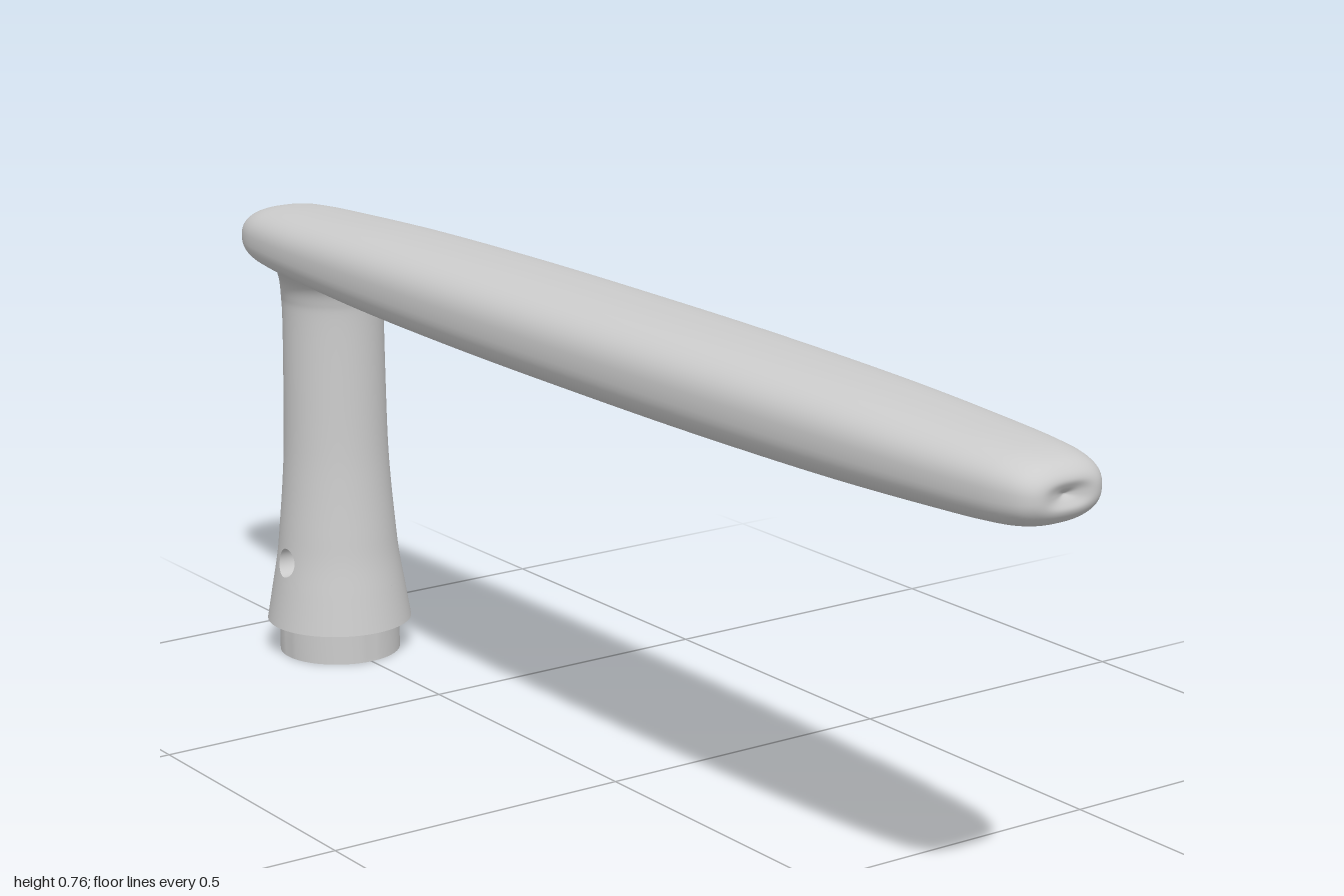
import * as THREE from 'three';
import { mergeVertices, toCreasedNormals } from 'three/addons/utils/BufferGeometryUtils.js';

const material = new THREE.MeshStandardMaterial({ color: 0xcccccc });
const thin = new THREE.MeshStandardMaterial({ color: 0xcccccc, side: THREE.DoubleSide });
const flat = new THREE.MeshStandardMaterial({ color: 0xcccccc, side: THREE.DoubleSide, flatShading: true });

const STEM_X = -0.81;
const STEM_BASE = 0.055;
const HOLE = { y: 0.165, radius: 0.024, halfAngle: 0.36, halfHeight: 0.04 };

// Smooth surface from fn(u, v) -> [x, y, z], faces towards du x dv
function surface(fn, nu, nv) {
  const pos = [], index = [];
  for (let i = 0; i <= nu; i++)
    for (let j = 0; j <= nv; j++) pos.push(...fn(i / nu, j / nv));
  for (let i = 0; i < nu; i++)
    for (let j = 0; j < nv; j++) {
      const a = i * (nv + 1) + j, b = a + nv + 1;
      index.push(a, b, b + 1, a, b + 1, a + 1);
    }
  let g = new THREE.BufferGeometry();
  g.setAttribute('position', new THREE.Float32BufferAttribute(pos, 3));
  g.setIndex(index);
  g = mergeVertices(g, 1e-5);
  g.computeVertexNormals();
  return g;
}

function add(parent, name, geometry, mat = material) {
  const mesh = new THREE.Mesh(geometry, mat);
  mesh.name = name;
  parent.add(mesh);
  return mesh;
}

// Grip: rounded oblong sections that taper to slightly dimpled ends
function gripGeometry() {
  const half = [ // x, half height, half width
    [0.3, 0.072, 0.118], [0.6, 0.067, 0.11], [0.8, 0.059, 0.1], [0.9, 0.054, 0.091],
    [0.95, 0.049, 0.083], [0.98, 0.041, 0.072], [0.995, 0.03, 0.058], [1, 0.02, 0.043],
    [0.996, 0.01, 0.022], [0.988, 0, 0],
  ];
  const stations = [
    ...half.map(([x, h, w]) => new THREE.Vector3(-x, h, w)).reverse(),
    new THREE.Vector3(0, 0.073, 0.12),
    ...half.map((p) => new THREE.Vector3(...p)),
  ];
  const n = 120;
  const sections = new THREE.CatmullRomCurve3(stations).getPoints(n);
  const round = (c) => Math.sign(c) * Math.abs(c) ** 0.8;
  return surface((u, v) => {
    const s = sections[Math.round(u * n)], a = v * Math.PI * 2;
    return [s.x, 0.69 + s.y * round(Math.sin(a)), s.z * round(Math.cos(a))];
  }, n, 64);
}

// Stem outline: flared foot, slim neck, fillet under the grip
const outline = new THREE.SplineCurve([
  [0.121, STEM_BASE], [0.111, 0.115], [0.102, 0.17], [0.097, 0.22], [0.091, 0.29], [0.087, 0.36],
  [0.085, 0.46], [0.084, 0.58], [0.087, 0.615], [0.096, 0.638], [0.115, 0.655],
].map((p) => new THREE.Vector2(...p))).getPoints(80);

function stemRadius(y) {
  const i = Math.max(1, outline.findIndex((p) => p.y >= y));
  const a = outline[i - 1], b = outline[i];
  return THREE.MathUtils.mapLinear(y, a.y, b.y, a.x, b.x);
}

// Part of the stem between two heights, with an optional window towards the front
function stemBand(y0, y1, gap = 0) {
  const points = [
    new THREE.Vector2(stemRadius(y0), y0),
    ...outline.filter((p) => p.y > y0 + 1e-4 && p.y < y1 - 1e-4),
    new THREE.Vector2(stemRadius(y1), y1),
  ];
  const g = new THREE.LatheGeometry(points, 64, gap, Math.PI * 2 - 2 * gap);
  // keep the fillet tucked below the grip at front and back
  const pos = g.attributes.position;
  for (let i = 0; i < pos.count; i++) {
    const y = pos.getY(i);
    if (y > 0.6) pos.setZ(i, pos.getZ(i) * 0.085 / Math.max(0.085, stemRadius(y)));
  }
  return g;
}

// Point on the rim of the screw hole, as angle round the stem and height
function holeRim(a) {
  const y = HOLE.y + HOLE.radius * Math.sin(a);
  return [Math.asin(HOLE.radius * Math.cos(a) / stemRadius(y)), y];
}

export function createModel() {
  const model = new THREE.Group();
  model.name = 'leverHandle';
  add(model, 'grip', gripGeometry());

  const stem = new THREE.Group();
  stem.name = 'stem';
  stem.position.x = STEM_X;
  model.add(stem);

  const low = HOLE.y - HOLE.halfHeight, high = HOLE.y + HOLE.halfHeight;
  add(stem, 'stemFoot', stemBand(STEM_BASE, low));
  add(stem, 'stemMiddle', stemBand(low, high, HOLE.halfAngle));
  add(stem, 'stemNeck', stemBand(high, 0.655));
  add(stem, 'stemUnderside', new THREE.RingGeometry(0.09, 0.121, 64).rotateX(Math.PI / 2)
    .translate(0, STEM_BASE, 0));

  // Curved panel that surrounds the screw hole
  add(stem, 'screwHolePanel', surface((u, v) => {
    const a = v * Math.PI * 2, c = Math.cos(a), s = Math.sin(a);
    const k = 1 / Math.max(Math.abs(c), Math.abs(s));
    const [ringAngle, ringY] = holeRim(a);
    const angle = THREE.MathUtils.lerp(ringAngle, HOLE.halfAngle * c * k, u);
    const y = THREE.MathUtils.lerp(ringY, HOLE.y + HOLE.halfHeight * s * k, u);
    const r = stemRadius(y);
    return [r * Math.sin(angle), y, r * Math.cos(angle)];
  }, 6, 48));

  // Bore of the screw hole, running in to the socket
  add(stem, 'screwHoleBore', surface((u, v) => {
    const [angle, y] = holeRim(v * Math.PI * 2), r = stemRadius(y);
    return [r * Math.sin(angle), y, THREE.MathUtils.lerp(0.05, r * Math.cos(angle), u)];
  }, 1, 48), thin);

  // Collar with a square opening
  const ring = new THREE.Shape().absarc(0, 0, 0.101, 0, Math.PI * 2);
  const s = 0.05;
  ring.holes.push(new THREE.Path([[-s, -s], [-s, s], [s, s], [s, -s]].map((p) => new THREE.Vector2(...p))));
  const collar = new THREE.ExtrudeGeometry(ring, { depth: STEM_BASE, bevelEnabled: false, curveSegments: 32 });
  add(stem, 'collar', toCreasedNormals(collar.rotateX(-Math.PI / 2), 0.6));

  // Square spindle socket continuing up inside the stem
  const corner = s * Math.SQRT2;
  const socket = [[corner, STEM_BASE], [corner, 0.24], [0, 0.24]].map((p) => new THREE.Vector2(...p));
  add(stem, 'spindleSocket', new THREE.LatheGeometry(socket, 4, Math.PI / 4), flat);

  return model;
}
